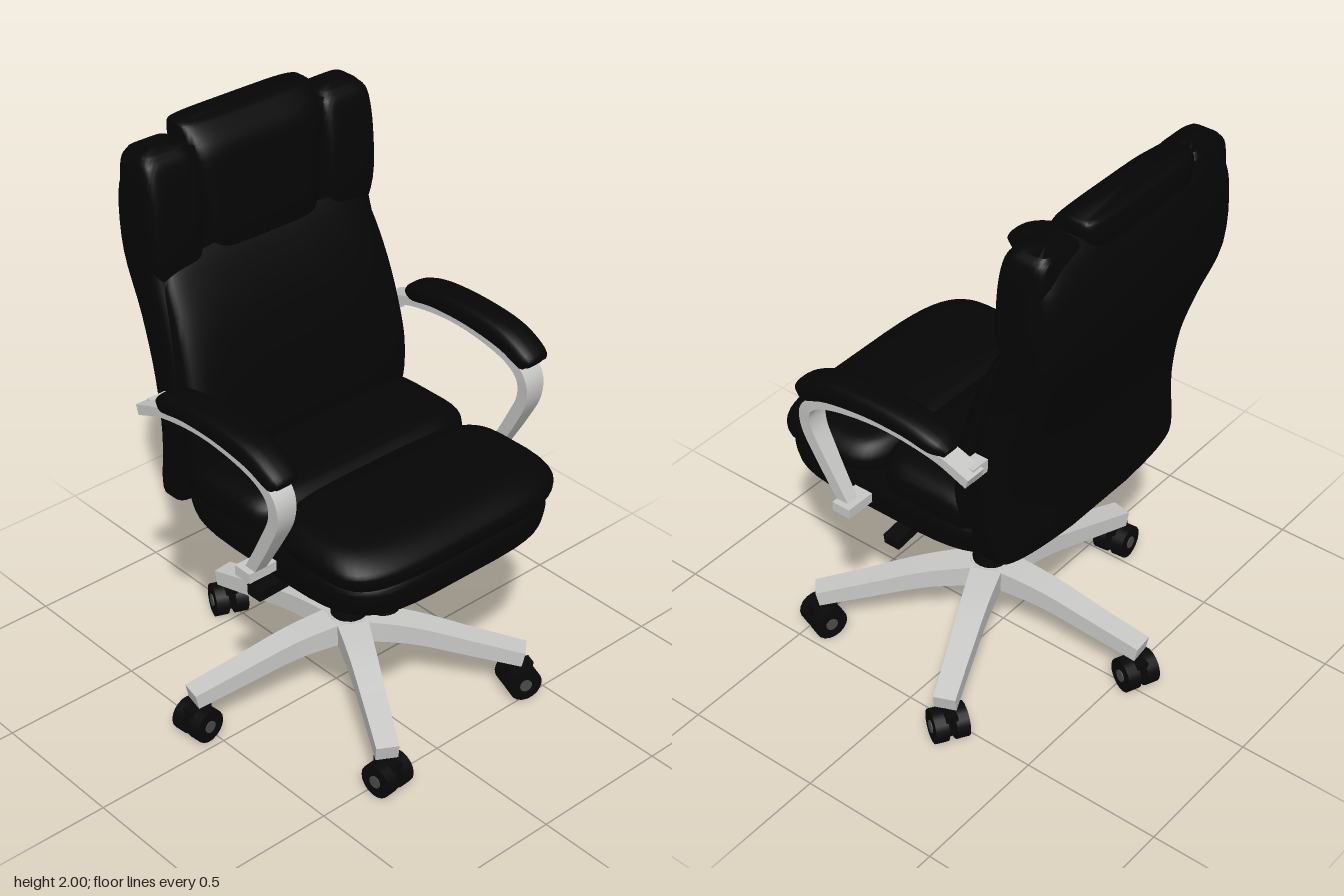
import * as THREE from 'three';
import { toCreasedNormals } from 'three/addons/utils/BufferGeometryUtils.js';

const mat = (name, color) => Object.assign(new THREE.MeshStandardMaterial({ color }), { name });
const leather = mat('black leather', 0x050505);
const plastic = mat('black plastic', 0x080808);
const metal = mat('brushed metal', 0xc8c8c6);
const capGrey = mat('grey wheel cap', 0x4a4a4a);

// Loft through sections [z, y, halfWidth, halfDepth] with superellipse outlines.
// level = true keeps every section horizontal, otherwise it follows the path.
// bow moves the outer edges of each section forward.
function loft(secs, { n = 4, sides = 32, steps = 20, level = false, crease = 0.6, bow = 0 } = {}) {
  const path = new THREE.CatmullRomCurve3(secs.map(s => new THREE.Vector3(s[2], s[1], s[0])), false, 'catmullrom', 0.5);
  const depth = new THREE.CatmullRomCurve3(secs.map(s => new THREE.Vector3(s[3], 0, 0)), false, 'catmullrom', 0.5);
  const pos = [], idx = [];
  const power = v => Math.sign(v) * Math.abs(v) ** (2 / n);
  for (let i = 0; i <= steps; i++) {
    const p = path.getPoint(i / steps), h = depth.getPoint(i / steps).x;
    const t = level ? new THREE.Vector3(0, 1, 0) : path.getTangent(i / steps).setX(0).normalize();
    for (let j = 0; j < sides; j++) {
      const a = (j + 0.5) / sides * Math.PI * 2;
      const c = power(Math.cos(a)), v = power(Math.sin(a)) * h;
      pos.push(c * p.x, p.y - t.z * v, p.z + t.y * v + bow * c * c);
    }
  }
  for (let i = 0; i < steps; i++) for (let j = 0; j < sides; j++) {
    const a = i * sides + j, b = i * sides + (j + 1) % sides;
    idx.push(a, a + sides, b, b, a + sides, b + sides);
  }
  // end caps
  const first = secs[0], last = secs[secs.length - 1], c = pos.length / 3;
  pos.push(0, first[1], first[0], 0, last[1], last[0]);
  for (let j = 0; j < sides; j++) {
    const k = (j + 1) % sides, e = steps * sides;
    idx.push(c, j, k, c + 1, e + k, e + j);
  }
  const g = new THREE.BufferGeometry();
  g.setAttribute('position', new THREE.Float32BufferAttribute(pos, 3));
  g.setIndex(idx);
  return toCreasedNormals(g, crease);
}

function add(parent, name, geometry, material, x = 0, y = 0, z = 0) {
  const m = new THREE.Mesh(geometry, material);
  m.name = name;
  m.position.set(x, y, z);
  parent.add(m);
  return m;
}

function group(parent, name, x = 0, y = 0, z = 0) {
  const g = new THREE.Group();
  g.name = name;
  g.position.set(x, y, z);
  parent.add(g);
  return g;
}

const cushion = { level: true, n: 5, sides: 48, crease: 0.9 };
const bar = { n: 99, sides: 4, steps: 18 };

function addSeat(parent) {
  const seat = group(parent, 'seat');
  add(seat, 'seatBase', loft([[.13, .72, .42, .43], [.12, .74, .455, .465], [.115, .81, .465, .485], [.11, .85, .455, .475]],
    { ...cushion, n: 4.5 }), leather);
  add(seat, 'frontCushion', loft([[.36, .835, .44, .225], [.36, .865, .46, .24], [.355, .905, .46, .235],
    [.33, .945, .42, .19], [.29, .962, .34, .12]], { ...cushion, n: 4 }), leather);
  add(seat, 'rearCushion', loft([[-.07, .83, .45, .22], [-.07, .88, .462, .23], [-.07, .93, .45, .225],
    [-.03, .96, .4, .15], [0, .972, .3, .08]], cushion), leather);
}

function addBack(parent) {
  const back = group(parent, 'backrest');
  add(back, 'backShell', loft([[-.37, .76, .42, .05], [-.355, .8, .46, .075], [-.325, 1, .465, .1], [-.355, 1.2, .46, .1],
    [-.415, 1.4, .452, .11], [-.485, 1.6, .455, .115], [-.5, 1.8, .46, .1], [-.48, 1.9, .45, .085], [-.47, 1.945, .42, .06]],
  { ...cushion, steps: 32, bow: .03 }), leather);
  add(back, 'backCushion', loft([[-.29, .81, .41, .06], [-.26, .9, .455, .09], [-.25, 1.05, .462, .09], [-.275, 1.2, .455, .095],
    [-.33, 1.4, .44, .09], [-.4, 1.57, .42, .07], [-.43, 1.64, .36, .03]], { ...cushion, steps: 28 }), leather);
  add(back, 'headPillow', loft([[-.41, 1.53, .19, .04], [-.42, 1.62, .22, .085], [-.435, 1.8, .245, .09], [-.46, 1.92, .262, .1],
    [-.485, 1.985, .264, .068], [-.487, 2, .255, .045]], cushion), leather);
  for (const s of [-1, 1]) {
    add(back, 'headWing', loft([[-.4, 1.48, .05, .04], [-.43, 1.62, .1, .09], [-.44, 1.8, .105, .095],
      [-.45, 1.92, .1, .08], [-.46, 1.96, .075, .055]], cushion), leather, s * .358);
  }
}

function addArm(parent, s) {
  const arm = group(parent, s > 0 ? 'leftArm' : 'rightArm', s * .53);
  add(arm, 'armPad', loft([[.335, 1.185, .035, .02], [.318, 1.197, .055, .038], [.22, 1.24, .06, .043], [.06, 1.26, .06, .04],
    [-.1, 1.257, .06, .037], [-.2, 1.235, .055, .033], [-.245, 1.215, .03, .018]], { n: 3, sides: 20, steps: 24, crease: 0.9 }), leather);
  // metal loop: back bracket, under the pad, then down to the seat
  add(arm, 'armFrame', loft([[-.335, 1.155, .038, .018], [-.2, 1.2, .038, .016], [0, 1.22, .04, .015], [.2, 1.195, .042, .016],
    [.3, 1.145, .042, .02], [.315, 1.06, .036, .022], [.265, .95, .03, .022], [.175, .79, .022, .02]], { ...bar, steps: 40 }), metal);
  add(arm, 'backBracket', new THREE.BoxGeometry(.08, .045, .05), metal, -s * .04, 1.16, -.305);
  add(arm, 'seatBracket', new THREE.BoxGeometry(.11, .035, .07), metal, -s * .01, .795, .175);
}

function addMechanism(parent) {
  const mech = group(parent, 'tiltMechanism');
  add(mech, 'tiltHousing', loft([[.32, .65, .09, .03], [.2, .625, .11, .05], [.05, .605, .11, .06], [-.1, .6, .07, .025]], bar), plastic);
  add(mech, 'seatMount', loft([[-.05, .61, .06, .035], [.05, .74, .06, .035]], bar), plastic);
  const knob = add(mech, 'tensionKnob', new THREE.CylinderGeometry(.042, .045, .17, 16), plastic, 0, .48, .195);
  knob.rotation.x = -.2;
  // levers: side, length, droop
  for (const [s, length, droop] of [[-1, .37, .04], [1, .33, .13]]) {
    const lever = group(mech, 'lever', s * .1, .65, .1);
    lever.rotation.z = -s * droop;
    add(lever, 'leverBlade', new THREE.BoxGeometry(length - .1, .028, .03), plastic, s * (length - .1) / 2);
    add(lever, 'leverPaddle', new THREE.BoxGeometry(.12, .038, .06), plastic, s * (length - .06), -.004);
  }
}

function addCaster(parent, yaw) {
  const caster = group(parent, 'caster', 0, 0, .57);
  caster.rotation.y = yaw;
  add(caster, 'casterStem', new THREE.CylinderGeometry(.02, .02, .08, 10), plastic, 0, .115, 0);
  add(caster, 'casterHood', new THREE.BoxGeometry(.04, .08, .09), plastic, 0, .08, .01);
  for (const s of [-1, 1]) {
    const wheel = add(caster, 'wheel', new THREE.CylinderGeometry(.06, .06, .046, 18), plastic, s * .036, .06, .01);
    wheel.rotation.z = Math.PI / 2;
    const cap = add(caster, 'wheelCap', new THREE.CylinderGeometry(.022, .022, .006, 14), capGrey, s * .06, .06, .01);
    cap.rotation.z = Math.PI / 2;
  }
}

function addBase(parent) {
  const base = group(parent, 'base', 0, 0, .03);
  add(base, 'lowerColumn', new THREE.CylinderGeometry(.056, .063, .17, 20), plastic, 0, .365, 0);
  add(base, 'upperColumn', new THREE.CylinderGeometry(.045, .05, .12, 20), plastic, 0, .5, 0);
  add(base, 'hub', new THREE.CylinderGeometry(.07, .08, .09, 20), metal, 0, .245, 0);
  add(base, 'columnStub', new THREE.CylinderGeometry(.032, .032, .06, 14), plastic, 0, .17, 0);
  const swivel = [.5, .6, .3, -.5, .6];
  for (let i = 0; i < 5; i++) {
    const leg = group(base, 'leg');
    leg.rotation.y = Math.PI / 2 - THREE.MathUtils.degToRad(48 + 72 * i);
    add(leg, 'legBeam', loft([[.02, .25, .056, .042], [.22, .237, .047, .035], [.42, .195, .041, .031], [.595, .158, .038, .028]], bar), metal);
    addCaster(leg, swivel[i]);
  }
}

export function createModel() {
  const model = new THREE.Group();
  model.name = 'officeChair';
  const chair = group(model, 'chair', .03);
  addSeat(chair);
  addBack(chair);
  for (const s of [-1, 1]) addArm(chair, s);
  addMechanism(chair);
  addBase(chair);
  return model;
}
